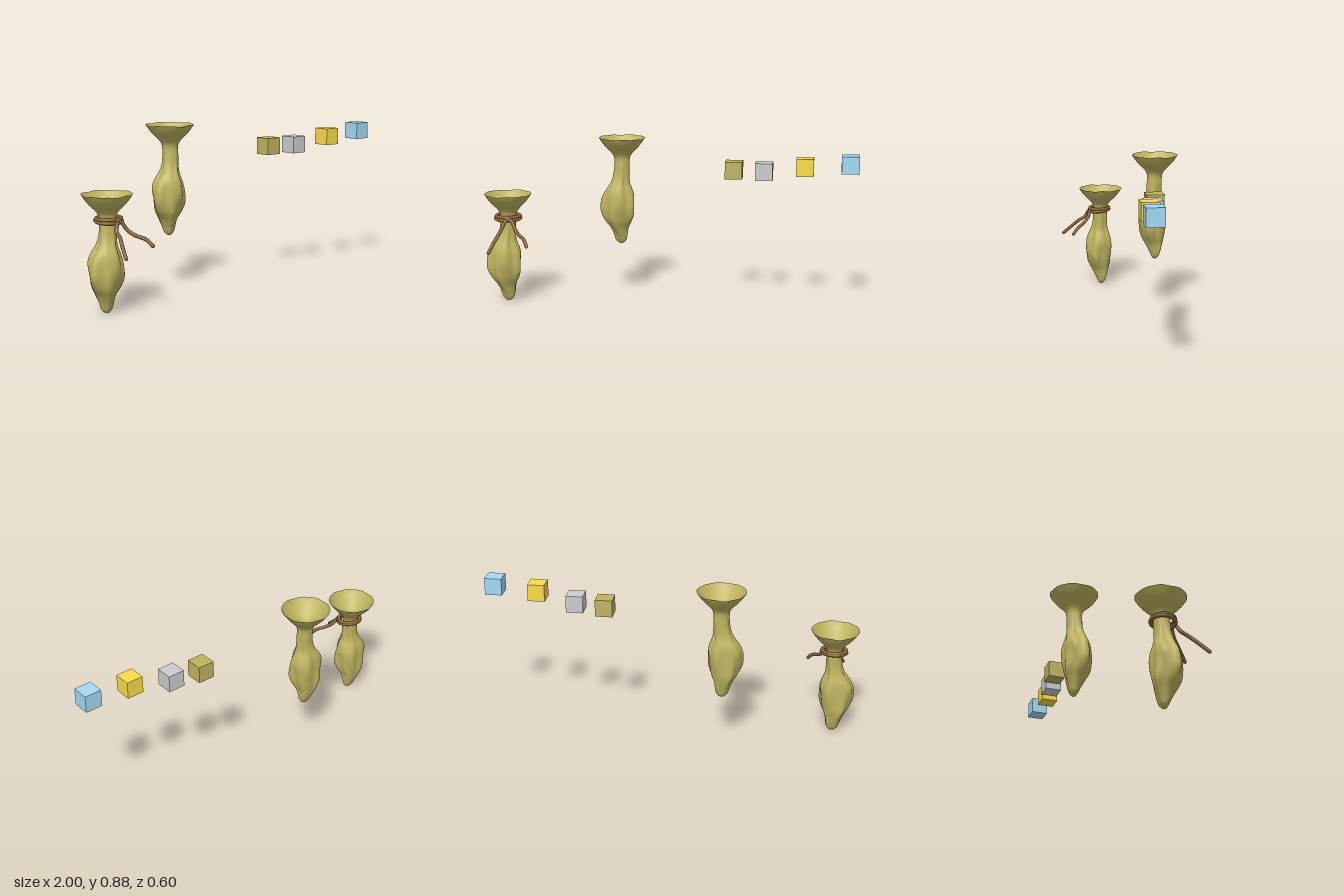
import * as THREE from 'three';

const mat = (color, side = THREE.FrontSide) => new THREE.MeshStandardMaterial({ color, side });
const cloth = mat(0xbfb460, THREE.DoubleSide);
const rope = mat(0x8a6538);

// Cross-sections from the tip to the mouth: [y, minX, maxX, minZ, maxZ, fold depth]
const SECTIONS = [
  [0.003, -0.022, 0.005, -0.012, 0.008, 0],
  [0.02, -0.040, 0.021, -0.026, 0.018, 0.08],
  [0.05, -0.050, 0.028, -0.038, 0.030, 0.10],
  [0.09, -0.068, 0.034, -0.052, 0.050, 0.11],
  [0.13, -0.094, 0.052, -0.061, 0.072, 0.11],
  [0.17, -0.110, 0.066, -0.063, 0.083, 0.11],
  [0.21, -0.115, 0.070, -0.065, 0.088, 0.10],
  [0.26, -0.113, 0.070, -0.066, 0.084, 0.09],
  [0.30, -0.095, 0.058, -0.061, 0.077, 0.09],
  [0.34, -0.066, 0.042, -0.048, 0.062, 0.10],
  [0.38, -0.050, 0.040, -0.040, 0.050, 0.08],
  [0.43, -0.043, 0.041, -0.040, 0.045, 0.05],
  [0.48, -0.044, 0.043, -0.042, 0.043, 0.03],
  [0.51, -0.060, 0.059, -0.058, 0.058, 0.01],
  [0.54, -0.090, 0.088, -0.088, 0.088, 0],
  [0.565, -0.110, 0.108, -0.110, 0.110, 0],
  [0.592, -0.128, 0.127, -0.128, 0.127, 0],
];

// Interpolate all section values smoothly along the sack
function sectionAt(t) {
  const f = t * (SECTIONS.length - 1);
  const i = Math.min(Math.floor(f), SECTIONS.length - 2), u = f - i;
  const at = (k) => SECTIONS[Math.max(0, Math.min(SECTIONS.length - 1, k))];
  return SECTIONS[0].map((_, c) => {
    const [a, b, d, e] = [at(i - 1)[c], at(i)[c], at(i + 1)[c], at(i + 2)[c]];
    return b + 0.5 * u * (d - a + u * (2 * a - 5 * b + 4 * d - e + u * (3 * (b - d) + e - a)));
  });
}

// Closed, gathered cloth sack with an open flared mouth
function sackGeometry() {
  const rings = 64, sides = 56;
  const pos = [], index = [];
  for (let j = 0; j <= rings; j++) {
    const [y, x0, x1, z0, z1, fold] = sectionAt(j / rings);
    for (let i = 0; i < sides; i++) {
      const a = (i / sides) * Math.PI * 2;
      // Vertical folds that drift round the body, plus a few broad lumps
      const wave = Math.cos(5 * a + 0.8 * Math.sin(14 * y)) * 0.6
        + Math.cos(8 * a + 1.3 + 9 * y) * 0.3
        + Math.sin(3 * a + 28 * y) * 0.35;
      const k = 1 + fold * (wave - 0.35);
      const rim = Math.max(0, (y - 0.55) / 0.042) * 0.003;
      pos.push(
        (x0 + x1) / 2 + (x1 - x0) / 2 * k * Math.sin(a),
        y + rim * Math.sin(7 * a) * Math.cos(2 * a),
        (z0 + z1) / 2 + (z1 - z0) / 2 * k * Math.cos(a));
    }
  }
  for (let j = 0; j < rings; j++) {
    for (let i = 0; i < sides; i++) {
      const a = j * sides + i, b = j * sides + (i + 1) % sides;
      index.push(a, b, b + sides, a, b + sides, a + sides);
    }
  }
  // Closed tip
  const tip = pos.length / 3;
  pos.push(-0.008, 0, -0.002);
  for (let i = 0; i < sides; i++) index.push(tip, (i + 1) % sides, i);
  const g = new THREE.BufferGeometry();
  g.setAttribute('position', new THREE.Float32BufferAttribute(pos, 3));
  g.setIndex(index);
  g.computeVertexNormals();
  return g;
}

function add(parent, name, geometry, material, x = 0, y = 0, z = 0) {
  const m = new THREE.Mesh(geometry, material);
  m.name = name;
  m.position.set(x, y, z);
  parent.add(m);
  return m;
}

// Rope tail with a rounded end
function addTail(parent, name, points) {
  const pts = points.map((p) => new THREE.Vector3(...p));
  const g = new THREE.Group();
  g.name = name;
  add(g, 'tailRope', new THREE.TubeGeometry(new THREE.CatmullRomCurve3(pts), 32, 0.0095, 10), rope);
  add(g, 'tailEnd', new THREE.SphereGeometry(0.0095, 10, 8), rope, ...points[points.length - 1]);
  parent.add(g);
}

export function createModel() {
  const model = new THREE.Group();
  const sackShape = sackGeometry();

  // Tied sack
  const tied = new THREE.Group();
  tied.name = 'tiedSack';
  tied.position.set(-0.871, 0, 0.07);
  add(tied, 'tiedSackCloth', sackShape, cloth);

  // Two turns of rope round the neck
  for (const [y, r, tilt] of [[0.473, 0.057, 0.02], [0.461, 0.06, 0.1]]) {
    const turn = add(tied, 'ropeTurn', new THREE.TorusGeometry(r, 0.0095, 10, 48), rope, 0.001, y, 0.008);
    turn.rotation.x = Math.PI / 2 + tilt;
    turn.scale.x = 1.1;
  }

  // Loose rope ends falling forward
  addTail(tied, 'rightRopeTail', [
    [0.03, 0.47, 0.055], [0.005, 0.455, 0.075], [-0.012, 0.42, 0.092],
    [-0.02, 0.395, 0.13], [-0.038, 0.355, 0.175], [-0.053, 0.312, 0.222]]);
  addTail(tied, 'leftRopeTail', [
    [0.0, 0.47, 0.066], [0.035, 0.455, 0.07], [0.055, 0.42, 0.085],
    [0.082, 0.393, 0.115], [0.12, 0.373, 0.15], [0.14, 0.342, 0.178]]);
  model.add(tied);

  // Untied sack
  add(model, 'openSack', sackShape, cloth, -0.286, 0.283, -0.174);

  // Colour sample cubes
  const cube = new THREE.BoxGeometry(0.092, 0.092, 0.092);
  const samples = [
    ['oliveCube', 0xbfb460, 0.337, 0.724, -0.079],
    ['greyCube', 0xcccccc, 0.5, 0.724, -0.046],
    ['yellowCube', 0xf8dc4b, 0.717, 0.758, 0.001],
    ['blueCube', 0xa3d9f5, 0.953, 0.777, 0.012],
  ];
  for (const [name, color, x, y, z] of samples) add(model, name, cube, mat(color), x, y, z);

  return model;
}
